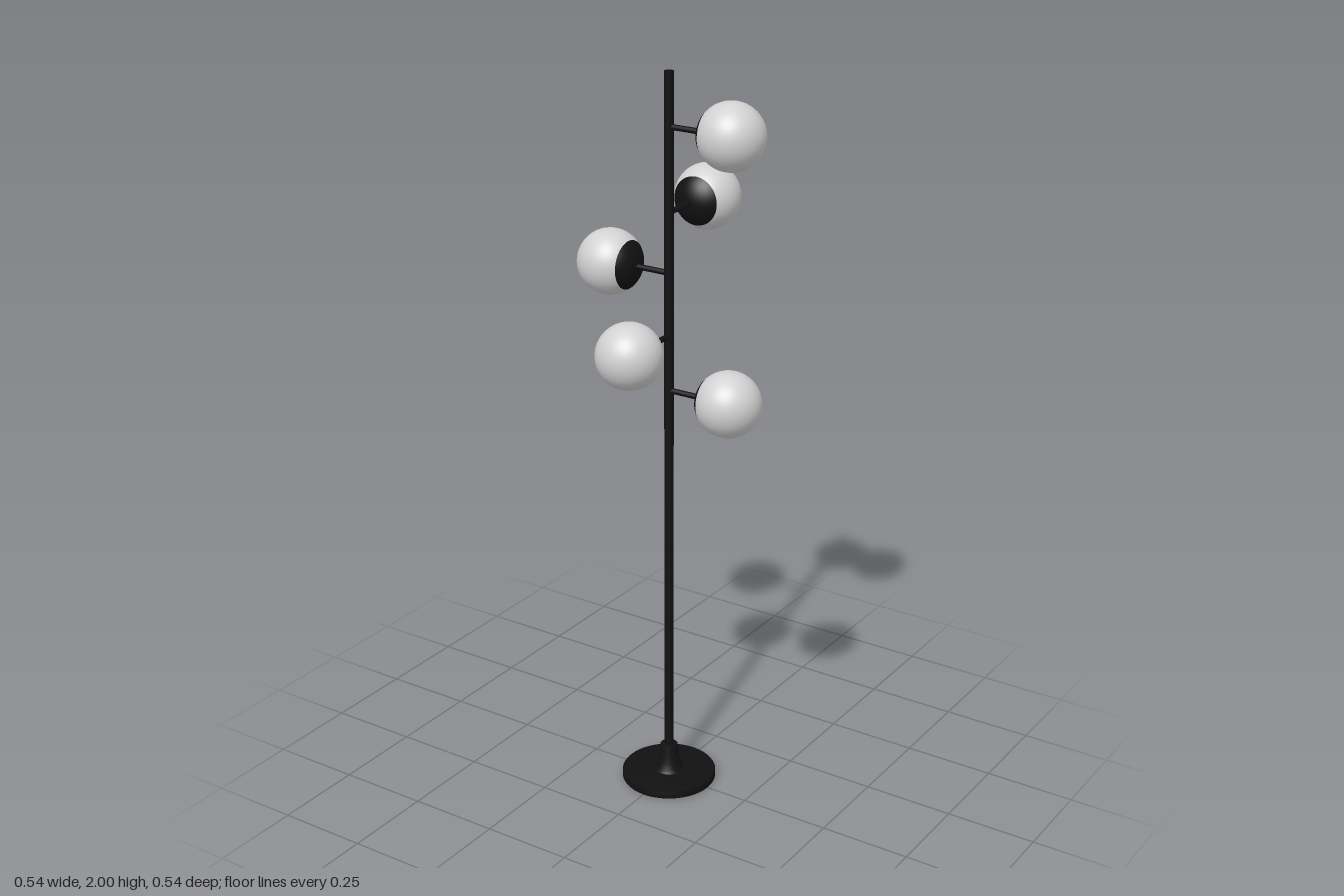
import * as THREE from 'three';

export function createModel() {
  const model = new THREE.Group();
  model.name = 'floorLamp';
  const black = new THREE.MeshStandardMaterial({ color: 0x111111 });
  black.name = 'black metal';
  const glass = new THREE.MeshStandardMaterial({ color: 0xd2d2d2 });
  glass.name = 'pale glass';

  const add = (parent, name, geometry, material) => {
    const mesh = new THREE.Mesh(geometry, material);
    mesh.name = name;
    parent.add(mesh);
    return mesh;
  };

  // Round foot: a thin disc with a slightly softened rim
  const foot = [[0, 0], [0.128, 0], [0.13, 0.003], [0.13, 0.02], [0.127, 0.024], [0, 0.024]];
  add(model, 'foot', new THREE.LatheGeometry(foot.map(p => new THREE.Vector2(...p)), 64), black);

  // Flared collar holding the pole
  const collar = [[0.042, 0.023], [0.036, 0.032], [0.031, 0.05], [0.026, 0.075], [0.024, 0.1], [0.022, 0.102], [0, 0.102]];
  add(model, 'collar', new THREE.LatheGeometry(collar.map(p => new THREE.Vector2(...p)), 40), black);

  // Pole
  add(model, 'pole', new THREE.CylinderGeometry(0.0125, 0.0125, 1.98, 32), black).position.y = 1.01;

  // Globe lamps: arm along +x, dark cap facing the pole, glass globe beyond it
  const R = 0.0875, reach = 0.182;
  const capAngle = Math.acos(0.059 / R);
  const armGeo = new THREE.CylinderGeometry(0.0075, 0.0075, 0.1, 16).rotateZ(Math.PI / 2).translate(0.05, 0, 0);
  const capGeo = new THREE.SphereGeometry(R, 48, 12, 0, Math.PI * 2, 0, capAngle)
    .rotateZ(Math.PI / 2).translate(reach, 0, 0);
  const globeGeo = new THREE.SphereGeometry(R, 48, 32, 0, Math.PI * 2, capAngle, Math.PI - capAngle)
    .rotateZ(Math.PI / 2).translate(reach, 0, 0);

  // Height and quarter turns about the pole, spiralling downwards
  [[1.86, 0], [1.64, 1], [1.48, 2], [1.31, 3], [1.16, 4]].forEach(([y, turn], i) => {
    const lamp = new THREE.Group();
    lamp.name = 'lamp' + (i + 1);
    lamp.position.y = y;
    lamp.rotation.y = turn * Math.PI / 2;
    add(lamp, 'arm', armGeo, black);
    add(lamp, 'cap', capGeo, black);
    add(lamp, 'globe', globeGeo, glass);
    model.add(lamp);
  });

  return model;
}
